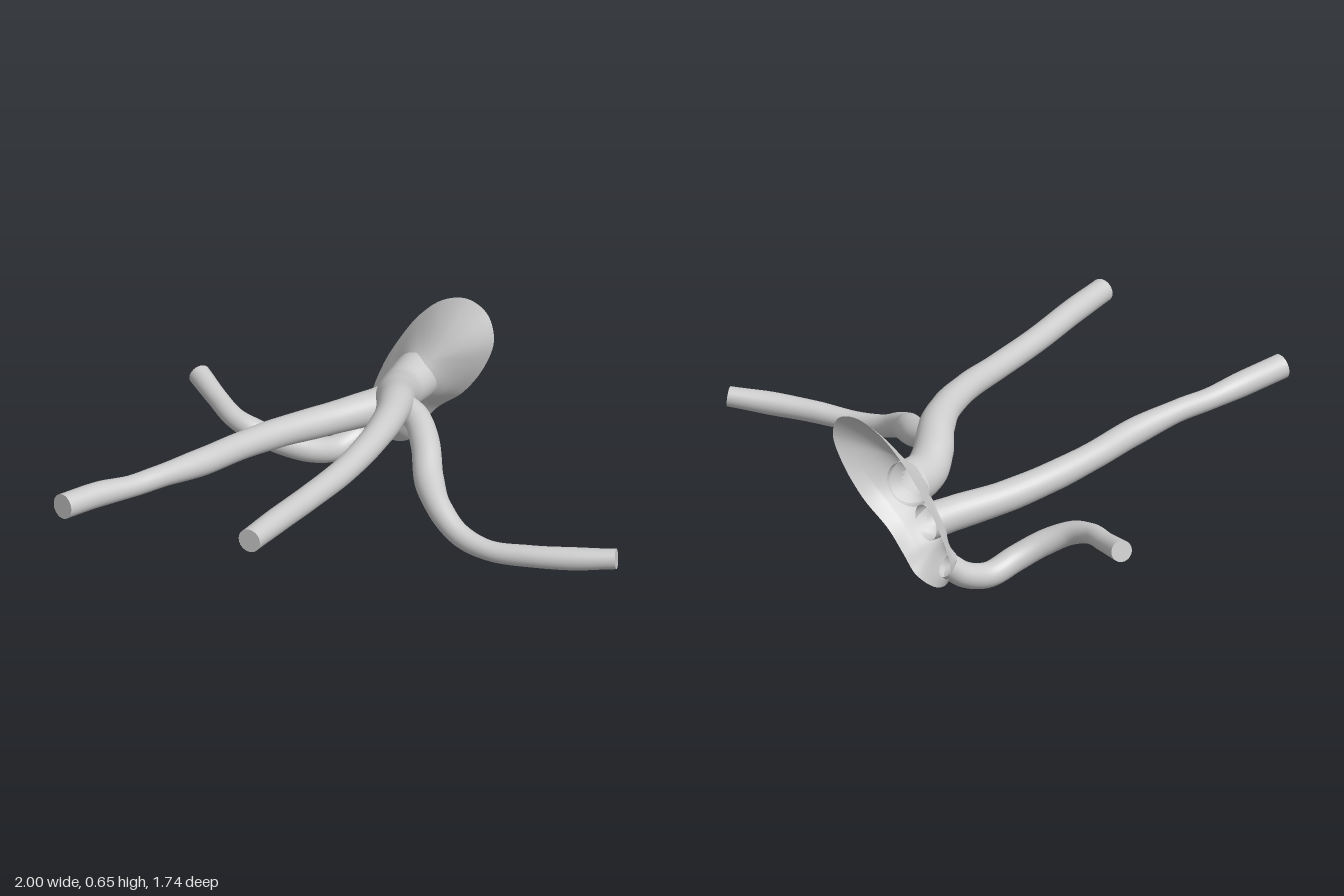
import * as THREE from 'three';

const material = new THREE.MeshStandardMaterial({ color: 0xcccccc, side: THREE.DoubleSide });

// Smooth tube through [x, y, z, radius] stations, capped at its far end
function vessel(name, stations) {
  const group = new THREE.Group();
  group.name = name;
  const path = new THREE.CatmullRomCurve3(stations.map(([x, y, z]) => new THREE.Vector3(x, y, z)));
  const rings = 90, sides = 28;
  const geo = new THREE.TubeGeometry(path, rings, 1, sides);
  const pos = geo.attributes.position, v = new THREE.Vector3();
  for (let i = 0; i <= rings; i++) {
    const t = path.getUtoTmapping(i / rings) * (stations.length - 1);
    const k = Math.min(Math.floor(t), stations.length - 2);
    const r = THREE.MathUtils.lerp(stations[k][3], stations[k + 1][3], THREE.MathUtils.smoothstep(t - k, 0, 1));
    const centre = path.getPointAt(i / rings);
    for (let j = 0; j <= sides; j++) {
      const n = i * (sides + 1) + j;
      v.fromBufferAttribute(pos, n).sub(centre).multiplyScalar(r).add(centre);
      pos.setXYZ(n, v.x, v.y, v.z);
    }
  }
  group.add(new THREE.Mesh(geo, material));

  const cap = new THREE.Mesh(new THREE.CircleGeometry(stations.at(-1)[3], sides), material);
  cap.name = name + 'Cap';
  cap.position.copy(path.getPointAt(1));
  cap.lookAt(path.getPointAt(1).add(path.getTangentAt(1)));
  group.add(cap);
  return group;
}

// Mouths where the vessels leave the cup: x, y, radius, funnel depth
const mouths = [
  [-0.22, 0.375, 0.085, 0.07],
  [-0.31, 0.25, 0.065, 0.06],
  [-0.43, 0.125, 0.045, 0.05],
];

// Open shallow cup, from a slanted flat oval rim inwards, with funnels at the mouths
function cup() {
  const rim = new THREE.CatmullRomCurve3([
    [-0.11, 0.655], [-0.02, 0.625], [0.02, 0.54], [-0.01, 0.43], [-0.09, 0.31], [-0.2, 0.215], [-0.26, 0.13],
    [-0.31, 0.06], [-0.4, 0.04], [-0.465, 0.08], [-0.49, 0.17], [-0.455, 0.3], [-0.4, 0.41], [-0.32, 0.53], [-0.22, 0.62],
  ].map(([x, y]) => new THREE.Vector3(x, y, 0)), true);
  const rings = 48, around = 120;
  const spine = new THREE.Line3(new THREE.Vector3(-0.34, 0.2, 0), new THREE.Vector3(-0.16, 0.46, 0));
  const positions = [], index = [], m = new THREE.Vector3();
  for (let i = 0; i <= rings; i++) {
    const s = 1 - i / rings;
    for (let j = 0; j <= around; j++) {
      const p = rim.getPointAt((j % around) / around);
      spine.closestPointToPoint(p, true, m);
      p.lerp(m, 1 - s);
      let z = -0.762 - 0.166 * p.y + 0.115 * (1 - s ** 1.6);
      for (const [x, y, r, depth] of mouths) {
        const d2 = (p.x - x) ** 2 + (p.y - y) ** 2;
        z += depth * Math.exp(-d2 / (r * r)) * Math.min(1, 4 * (1 - s));
      }
      positions.push(p.x, p.y, z);
    }
  }
  // Leave the middle of each mouth open
  const open = (...ids) => mouths.some(([x, y, r]) =>
    ids.every((n) => Math.hypot(positions[n * 3] - x, positions[n * 3 + 1] - y) < r * 0.72));
  for (let i = 0; i < rings; i++) {
    for (let j = 0; j < around; j++) {
      const a = i * (around + 1) + j, b = a + 1, c = a + around + 1, d = c + 1;
      if (!open(a, b, c, d)) index.push(a, b, c, b, d, c);
    }
  }
  const geo = new THREE.BufferGeometry();
  geo.setAttribute('position', new THREE.Float32BufferAttribute(positions, 3));
  geo.setIndex(index);
  geo.computeVertexNormals();
  const mesh = new THREE.Mesh(geo, material);
  mesh.name = 'cup';
  return mesh;
}

export function createModel() {
  const model = new THREE.Group();
  model.name = 'branchingVessels';
  model.add(cup());

  // Upper trunk running forward on the left
  model.add(vessel('upperFrontVessel', [
    [-0.225, 0.375, -0.72, 0.088], [-0.2, 0.375, -0.6, 0.079], [-0.155, 0.405, -0.51, 0.073], [-0.08, 0.44, -0.41, 0.066],
    [-0.01, 0.45, -0.28, 0.056], [0.05, 0.445, -0.1, 0.05], [0.09, 0.435, 0.1, 0.047], [0.125, 0.44, 0.35, 0.046],
    [0.16, 0.455, 0.58, 0.046], [0.187, 0.462, 0.77, 0.044],
  ]));

  // Lower trunk running forward on the right
  model.add(vessel('lowerFrontVessel', [
    [-0.31, 0.25, -0.72, 0.068], [-0.34, 0.255, -0.6, 0.064], [-0.4, 0.265, -0.4, 0.058], [-0.445, 0.285, -0.2, 0.054],
    [-0.468, 0.305, 0, 0.05], [-0.475, 0.325, 0.2, 0.05], [-0.505, 0.345, 0.42, 0.041], [-0.53, 0.35, 0.54, 0.04],
    [-0.565, 0.37, 0.7, 0.046], [-0.59, 0.383, 0.865, 0.046],
  ]));

  // Low looping vessel to the right side
  model.add(vessel('rightSideVessel', [
    [-0.43, 0.125, -0.735, 0.047], [-0.46, 0.078, -0.68, 0.047], [-0.487, 0.05, -0.58, 0.047], [-0.515, 0.082, -0.47, 0.048],
    [-0.57, 0.13, -0.38, 0.047], [-0.65, 0.175, -0.32, 0.043], [-0.74, 0.2, -0.315, 0.038], [-0.85, 0.22, -0.36, 0.037],
    [-0.983, 0.25, -0.42, 0.04],
  ]));

  // Branch leaving the upper trunk to the left side
  model.add(vessel('leftSideVessel', [
    [-0.09, 0.42, -0.45, 0.045], [0, 0.395, -0.43, 0.05], [0.1, 0.352, -0.355, 0.053], [0.2, 0.285, -0.25, 0.054],
    [0.3, 0.237, -0.18, 0.046], [0.42, 0.18, -0.147, 0.041], [0.55, 0.157, -0.152, 0.037], [0.7, 0.163, -0.2, 0.04],
    [0.84, 0.172, -0.265, 0.042], [0.98, 0.184, -0.345, 0.037],
  ]));
  return model;
}
